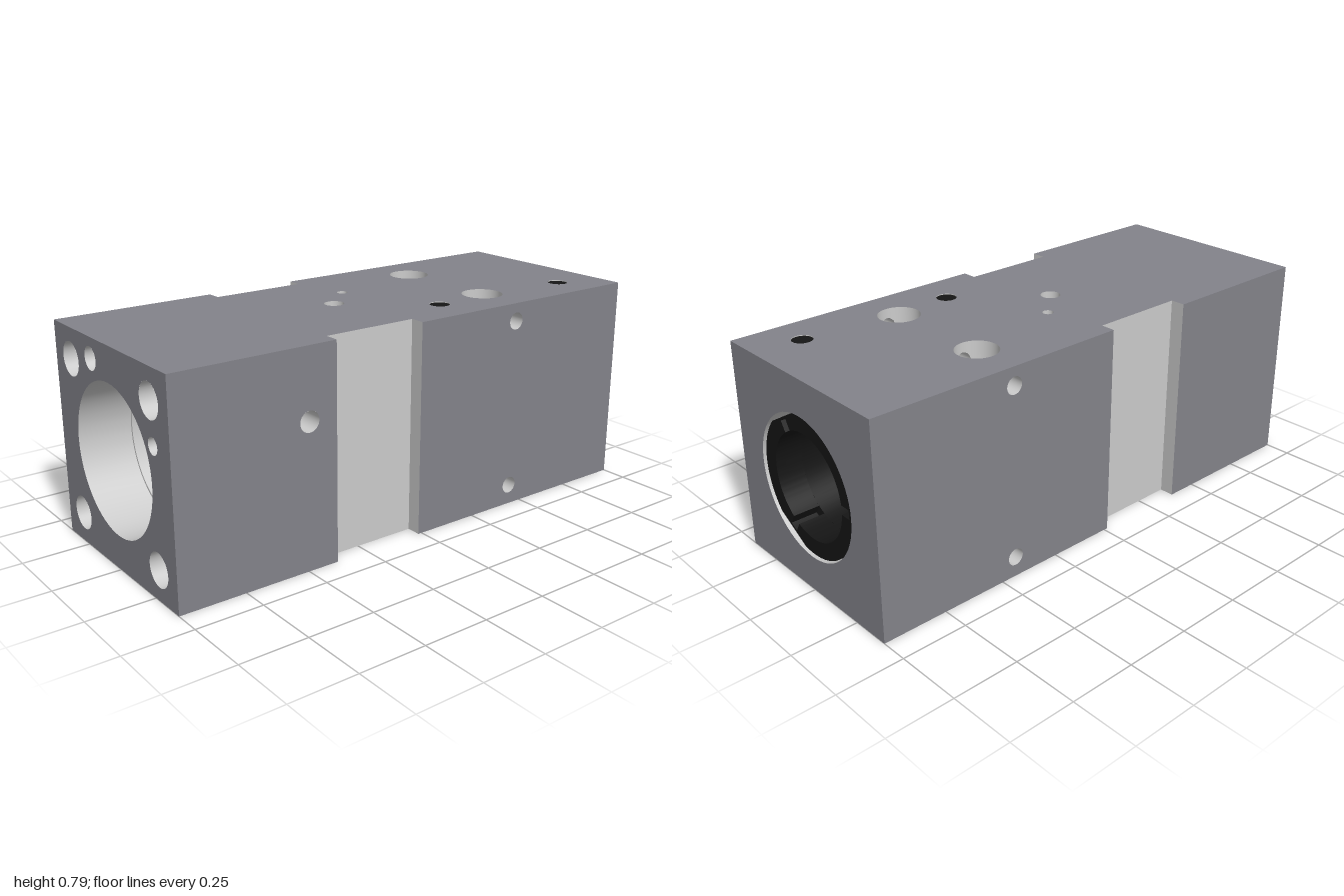
import * as THREE from 'three';
import { toCreasedNormals } from 'three/addons/utils/BufferGeometryUtils.js';
import { ParametricGeometry } from 'three/addons/geometries/ParametricGeometry.js';

const Y0 = 0.008, Y1 = 0.803, YC = 0.405, W = 0.4; // block bottom, top, bore axis, half width
const NX0 = -0.38, NX1 = -0.015, NZ = 0.345;       // side notches
const PX = 0.44, PZ = 0.214, PR = 0.077;           // vertical through holes
const CY = [0.085, 0.735], CR = 0.032;             // cross holes

export function createModel() {
  const group = new THREE.Group();
  const mat = (color) => new THREE.MeshStandardMaterial({ color, side: THREE.DoubleSide });
  const coat = mat(0x83838a), metal = mat(0xcccccc), black = mat(0x151515);

  const add = (name, geometry, material) => {
    const mesh = new THREE.Mesh(geometry, material);
    mesh.name = name;
    group.add(mesh);
    return mesh;
  };

  // Flat face with round holes, holes given as [u, v, radius]
  const panel = (name, points, holes, material, rot, pos) => {
    const shape = new THREE.Shape(points.map(([x, y]) => new THREE.Vector2(x, y)));
    for (const [u, v, r] of holes) {
      shape.holes.push(new THREE.Path().absarc(u, v, r, 0, Math.PI * 2, true));
    }
    const mesh = add(name, new THREE.ShapeGeometry(shape, 32), material);
    mesh.rotation.set(...rot);
    mesh.position.set(...pos);
  };
  const rect = (x0, x1, y0, y1) => [[x0, y0], [x1, y0], [x1, y1], [x0, y1]];

  // Drilled hole wall between two points, with an optional end disc
  const drill = (name, from, to, r, floor = metal) => {
    const a = new THREE.Vector3(...from), b = new THREE.Vector3(...to);
    const dir = b.clone().sub(a), length = dir.length();
    dir.normalize();
    const wall = add(name, new THREE.CylinderGeometry(r, r, length, 32, 1, true), metal);
    wall.position.copy(a).add(b).multiplyScalar(0.5);
    wall.quaternion.setFromUnitVectors(new THREE.Vector3(0, 1, 0), dir);
    const disc = add(name + 'Floor', new THREE.CircleGeometry(r, 32), floor);
    disc.position.copy(b);
    disc.quaternion.setFromUnitVectors(new THREE.Vector3(0, 0, 1), dir.clone().negate());
  };

  // Top and bottom faces, notched on both sides
  const outline = [[-1, -W], [NX0, -W], [NX0, -NZ], [NX1, -NZ], [NX1, -W], [1, -W],
    [1, W], [NX1, W], [NX1, NZ], [NX0, NZ], [NX0, W], [-1, W]];
  const ports = [[PX, PZ, PR], [PX, -PZ, PR]];
  const topBlind = [[-0.095, 0, 0.037], [0.035, -0.125, 0.02]];
  const plugs = [[0.205, 0.24], [0.815, 0.25]];
  panel('topFace', outline, [...ports, ...topBlind.map(([x, z, r]) => [x, -z, r]),
    ...plugs.map(([x, z]) => [x, -z, 0.038])], coat, [-Math.PI / 2, 0, 0], [0, Y1, 0]);
  panel('bottomFace', outline, [...ports, ...plugs.map(([x, z]) => [x, z, 0.03])],
    coat, [Math.PI / 2, 0, 0], [0, Y0, 0]);
  for (const [x, z, r] of topBlind) drill('topHole', [x, Y1, z], [x, Y1 - 0.1, z], r);
  for (const [x, z] of plugs) {
    drill('plugSeat', [x, Y1, z], [x, Y1 - 0.003, z], 0.038, black);
    drill('bottomHole', [x, Y0, z], [x, 0.2, z], 0.03);
  }

  // Front and back faces with their notches
  const cross = CY.map((y) => [PX, y, CR]);
  for (const s of [1, -1]) {
    const side = s > 0 ? 'front' : 'back', rot = [0, s > 0 ? 0 : Math.PI, 0];
    const span = (x0, x1) => (s > 0 ? rect(x0, x1, Y0, Y1) : rect(-x1, -x0, Y0, Y1));
    panel(side + 'FaceRight', span(-1, NX0), s > 0 ? [[-0.49, 0.545, 0.038]] : [],
      coat, rot, [0, 0, s * W]);
    panel(side + 'FaceLeft', span(NX1, 1), cross.map(([x, y, r]) => [s * x, y, r]),
      coat, rot, [0, 0, s * W]);
    panel(side + 'NotchFloor', span(NX0, NX1), [], metal, rot, [0, 0, s * NZ]);
    const step = s > 0 ? [NZ, W] : [-W, -NZ];
    panel(side + 'NotchWall', rect(-step[1], -step[0], Y0, Y1), [], metal,
      [0, Math.PI / 2, 0], [NX0, 0, 0]);
    panel(side + 'NotchWall', rect(step[0], step[1], Y0, Y1), [], metal,
      [0, -Math.PI / 2, 0], [NX1, 0, 0]);
  }
  drill('frontHole', [-0.49, 0.545, W], [-0.49, 0.545, 0.25], 0.038);

  // End faces: bushing end (+x) and bolted end (-x)
  panel('bushingEndFace', rect(-W, W, Y0, Y1), [[0, YC, 0.262]], coat, [0, Math.PI / 2, 0], [1, 0, 0]);
  const endHoles = [[-0.123, 0.728, 0.042, 0.1], [0.29, 0.545, 0.03, 0.46]];
  for (const z of [-0.28, 0.28]) {
    for (const y of [-0.285, 0.285]) endHoles.push([z, YC + y, 0.062, 0.4]);
  }
  panel('boltedEndFace', rect(-W, W, Y0, Y1), [[0, YC, 0.27], ...endHoles],
    coat, [0, -Math.PI / 2, 0], [-1, 0, 0]);
  for (const [z, y, r, depth] of endHoles) drill('endHole', [-1, y, z], [-1 + depth, y, z], r);

  // Stepped main bore
  const bore = (name, profile) => {
    const lathe = new THREE.LatheGeometry(profile.map(([r, x]) => new THREE.Vector2(r, x)), 64);
    const mesh = add(name, toCreasedNormals(lathe, 0.6), metal);
    mesh.rotation.z = -Math.PI / 2;
    mesh.position.y = YC;
  };
  bore('mainBore', [[0.27, -1], [0.27, -0.8], [0.262, -0.8], [0.262, -0.2], [0.153, -0.2], [0.153, 0.35]]);
  bore('bushingBore', [[0.153, 0.53], [0.262, 0.53], [0.262, 1]]);

  // Vertical through holes, opened where the cross holes run through
  const surface = (name, fn) =>
    add(name, new ParametricGeometry((u, v, p) => p.set(...fn(u * Math.PI * 2, v)), 72, 2), metal);
  const gap = (t) => Math.sqrt(Math.max(0, CR ** 2 - (PR * Math.sin(t)) ** 2));
  const bands = [
    [() => Y0, (t) => CY[0] - gap(t)],
    [(t) => CY[0] + gap(t), (t) => CY[1] - gap(t)],
    [(t) => CY[1] + gap(t), () => Y1],
  ];
  for (const cz of [-PZ, PZ]) {
    for (const [lo, hi] of bands) {
      surface('verticalHole', (t, v) => [PX + PR * Math.sin(t),
        THREE.MathUtils.lerp(lo(t), hi(t), v), cz + PR * Math.cos(t)]);
    }
  }

  // Cross holes, cut to meet the vertical holes
  const reach = (t) => Math.sqrt(PR ** 2 - (CR * Math.cos(t)) ** 2);
  const spans = [
    [() => -W, (t) => -PZ - reach(t)],
    [(t) => -PZ + reach(t), (t) => PZ - reach(t)],
    [(t) => PZ + reach(t), () => W],
  ];
  for (const y of CY) {
    for (const [lo, hi] of spans) {
      surface('crossHole', (t, v) => [PX + CR * Math.cos(t), y + CR * Math.sin(t),
        THREE.MathUtils.lerp(lo(t), hi(t), v)]);
    }
  }

  // Black bushing: three flats outside, three key slots inside
  const ring = (inner, slotted) => {
    const shape = new THREE.Shape(), hole = new THREE.Path();
    const flat = 0.307, slot = 0.09, third = Math.PI * 2 / 3;
    for (let i = 0; i < 3; i++) {
      const a = i * third;
      shape.absarc(0, 0, 0.257, a + flat, a + third - flat, false);
      if (slotted) {
        hole.absarc(0, 0, 0.236, a - slot * 0.83, a + slot * 0.83, false);
        hole.absarc(0, 0, inner, a + slot, a + third - slot, false);
      }
    }
    shape.closePath();
    if (slotted) hole.closePath();
    else hole.absarc(0, 0, inner, 0, Math.PI * 2, true);
    shape.holes.push(hole);
    return shape;
  };
  const bushing = (name, shape, x, depth) => {
    const geo = new THREE.ExtrudeGeometry(shape, { depth, bevelEnabled: false, curveSegments: 24 });
    const mesh = add(name, toCreasedNormals(geo, 0.5), black);
    mesh.rotation.y = Math.PI / 2;
    mesh.position.set(x, YC, 0);
  };
  bushing('bushingCollar', ring(0.195, true), 0.89, 0.1);
  bushing('bushingSleeve', ring(0.195, false), 0.7, 0.19);
  bushing('bushingThroat', ring(0.153, false), 0.54, 0.16);

  return group;
}
